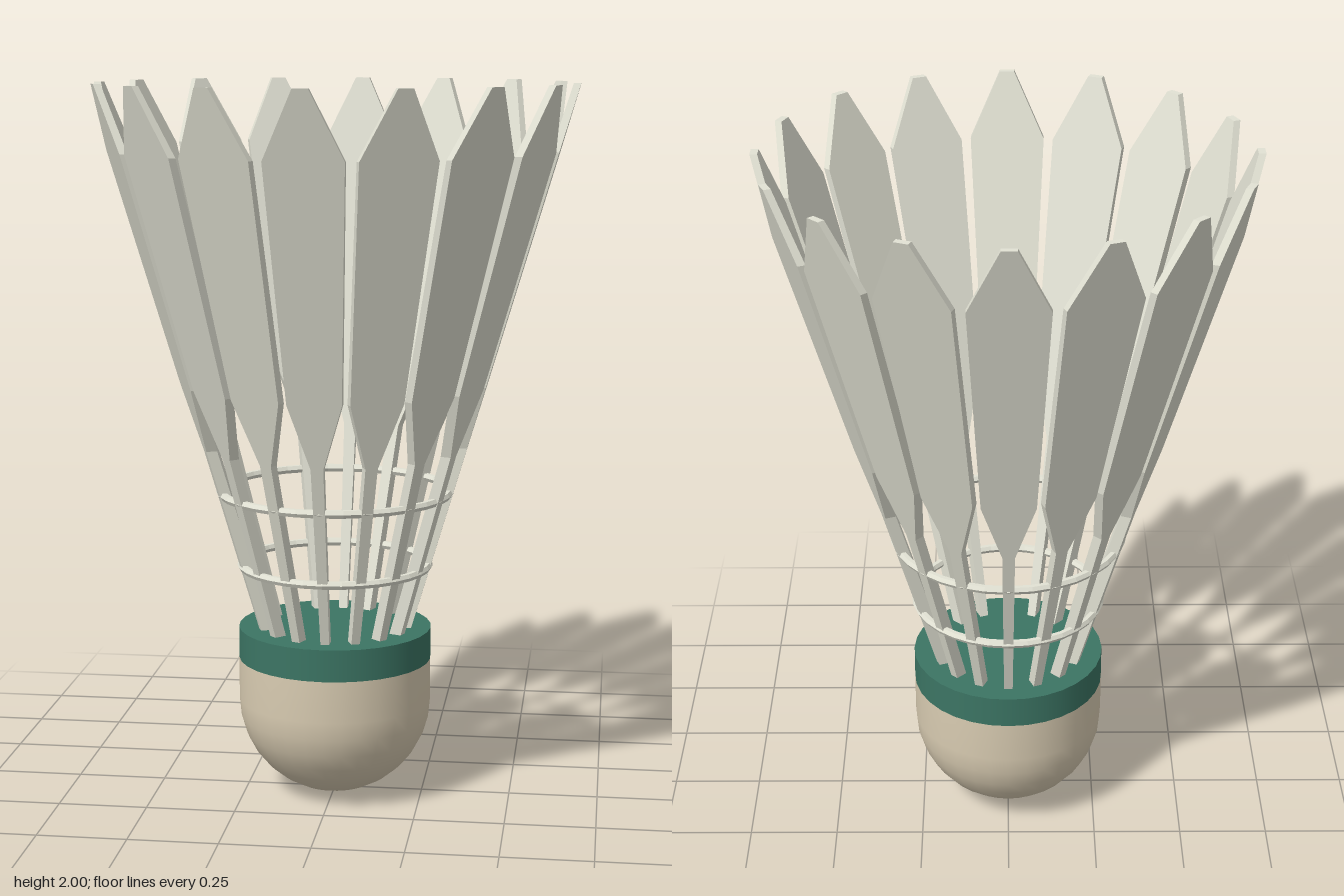
import * as THREE from 'three';

const FEATHERS = 16;
const BASE_Y = 0.46, TOP_Y = 2;

const material = (color, flatShading = false) => new THREE.MeshStandardMaterial({ color, flatShading });

function addMesh(parent, name, geometry, mat) {
  const mesh = new THREE.Mesh(geometry, mat);
  mesh.name = name;
  parent.add(mesh);
  return mesh;
}

// Flat feather with a thin stem, leaning outwards and thinning towards the tip
function featherGeometry() {
  const half = [[0.012, BASE_Y], [0.017, 1.0], [0.073, 1.18], [0.104, 1.82], [0.02, TOP_Y]];
  const outline = [...half, ...half.map(([x, y]) => [-x, y]).reverse()];
  const shape = new THREE.Shape(outline.map(([x, y]) => new THREE.Vector2(x, y)));
  const geometry = new THREE.ExtrudeGeometry(shape, { depth: 1, bevelEnabled: false });
  const pos = geometry.attributes.position;
  for (let i = 0; i < pos.count; i++) {
    const t = (pos.getY(i) - BASE_Y) / (TOP_Y - BASE_Y);
    const inner = THREE.MathUtils.lerp(0.176, 0.645, t);
    const outer = THREE.MathUtils.lerp(0.212, 0.665, t);
    pos.setZ(i, pos.getZ(i) > 0.5 ? outer : inner);
  }
  geometry.computeVertexNormals();
  return geometry;
}

export function createModel() {
  const model = new THREE.Group();
  model.name = 'shuttlecock';
  const corkMat = material(0xd9ccb2);
  const bandMat = material(0x3c7564);
  const featherMat = material(0xe2e2d4, true);

  // Rounded cork: hemisphere running into a short cylinder
  const R = 0.272;
  const profile = [];
  for (let i = 0; i <= 8; i++) {
    const a = (i / 8) * Math.PI / 2;
    profile.push(new THREE.Vector2(R * Math.sin(a), R * (1 - Math.cos(a))));
  }
  profile.push(new THREE.Vector2(R, 0.39));
  addMesh(model, 'cork', new THREE.LatheGeometry(profile, 32), corkMat);

  // Coloured band closing the top of the cork
  addMesh(model, 'band', new THREE.CylinderGeometry(R, R, 0.09, 32), bandMat).position.y = 0.435;

  // Ring of feathers
  const skirt = new THREE.Group();
  skirt.name = 'feathers';
  model.add(skirt);
  const feather = featherGeometry();
  for (let i = 0; i < FEATHERS; i++) {
    addMesh(skirt, 'feather', feather, featherMat).rotation.y = (i / FEATHERS) * Math.PI * 2;
  }

  // Two binding rings around the stems
  for (const [name, y, radius] of [['lowerRing', 0.66, 0.264], ['upperRing', 0.87, 0.322]]) {
    const ring = addMesh(model, name, new THREE.TorusGeometry(radius, 0.012, 6, 32), featherMat);
    ring.rotation.x = Math.PI / 2;
    ring.position.y = y;
  }
  return model;
}
